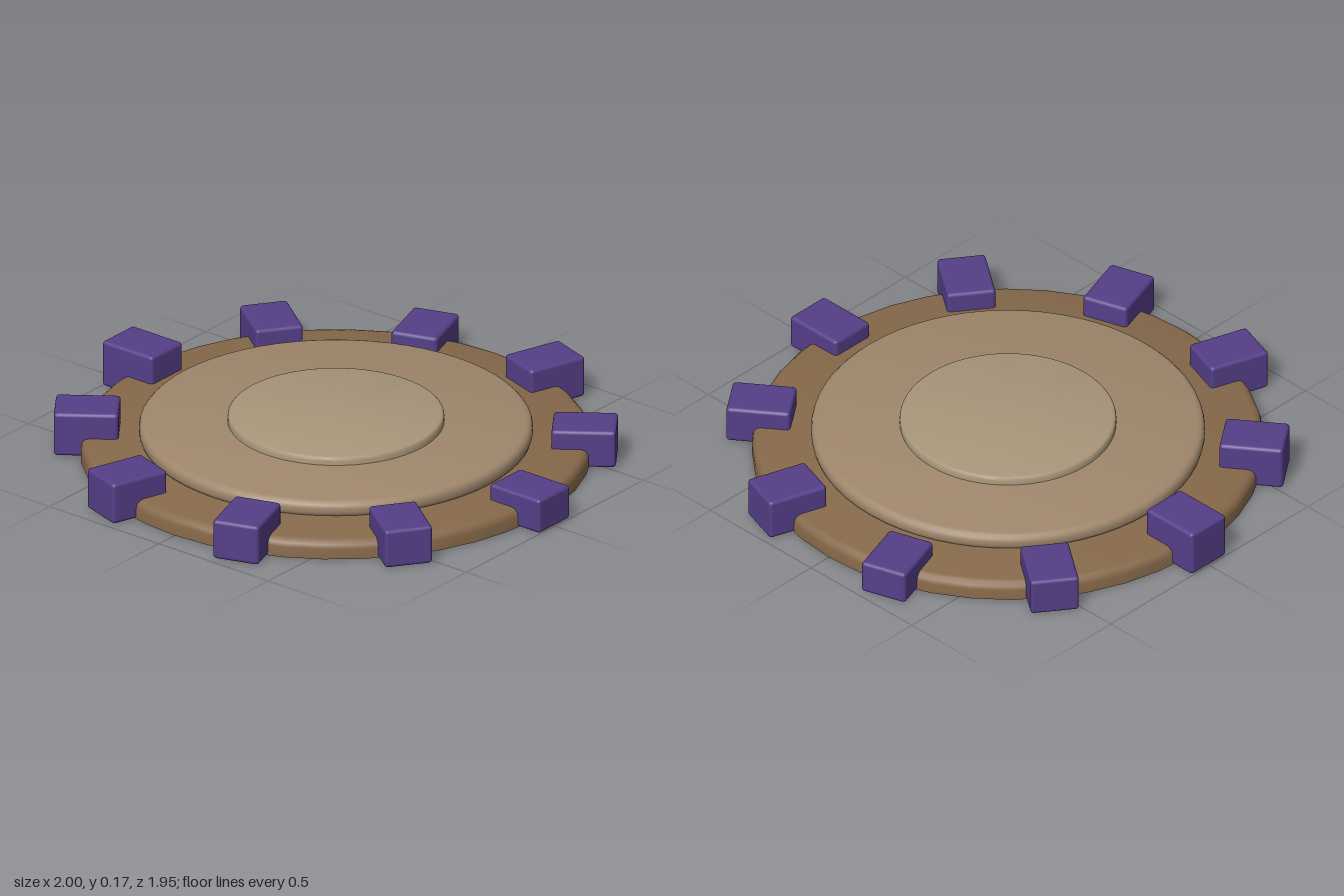
import * as THREE from 'three';
import { toCreasedNormals } from 'three/addons/utils/BufferGeometryUtils.js';
import { RoundedBoxGeometry } from 'three/addons/geometries/RoundedBoxGeometry.js';

// Disc from y0 to y1 with rounded rims (quarter arcs of radius low / high)
function disc(name, radius, y0, y1, low, high, color, sides) {
  const points = [new THREE.Vector2(0, y0)];
  const arc = (r, cy, from) => {
    for (let i = 0; i <= 3; i++) {
      const a = from + (i / 3) * Math.PI / 2;
      points.push(new THREE.Vector2(radius - r + r * Math.cos(a), cy + r * Math.sin(a)));
    }
  };
  if (low > 0) arc(low, y0 + low, -Math.PI / 2);
  else points.push(new THREE.Vector2(radius, y0));
  arc(high, y1 - high, 0);
  points.push(new THREE.Vector2(0, y1));
  const geometry = toCreasedNormals(new THREE.LatheGeometry(points, sides), 0.6);
  const mesh = new THREE.Mesh(geometry, new THREE.MeshStandardMaterial({ color }));
  mesh.name = name;
  return mesh;
}

export function createModel() {
  const model = new THREE.Group();
  model.name = 'steppedPlatform';

  // Three stacked discs
  model.add(
    disc('baseDisc', 0.91, 0, 0.07, 0, 0.03, 0x86694a, 40),
    disc('middleDisc', 0.7, 0.065, 0.125, 0.02, 0.025, 0x9f876c, 64),
    disc('centreDisc', 0.385, 0.12, 0.155, 0, 0.012, 0xa8967a, 64),
  );

  // Ring of blocks of uneven height straddling the rim
  const heights = [0.13, 0.145, 0.15, 0.155, 0.165, 0.175, 0.14, 0.125, 0.155, 0.14];
  const blockMaterial = new THREE.MeshStandardMaterial({ color: 0x553e88 });
  const ring = new THREE.Group();
  ring.name = 'rimBlocks';
  heights.forEach((h, i) => {
    const a = (i / heights.length) * Math.PI * 2;
    const block = new THREE.Mesh(new RoundedBoxGeometry(0.23, h, 0.175, 2, 0.013), blockMaterial);
    block.name = 'rimBlock' + (i + 1);
    block.position.set(0.885 * Math.cos(a), h / 2, 0.885 * Math.sin(a));
    block.rotation.y = -a;
    ring.add(block);
  });
  model.add(ring);
  return model;
}
